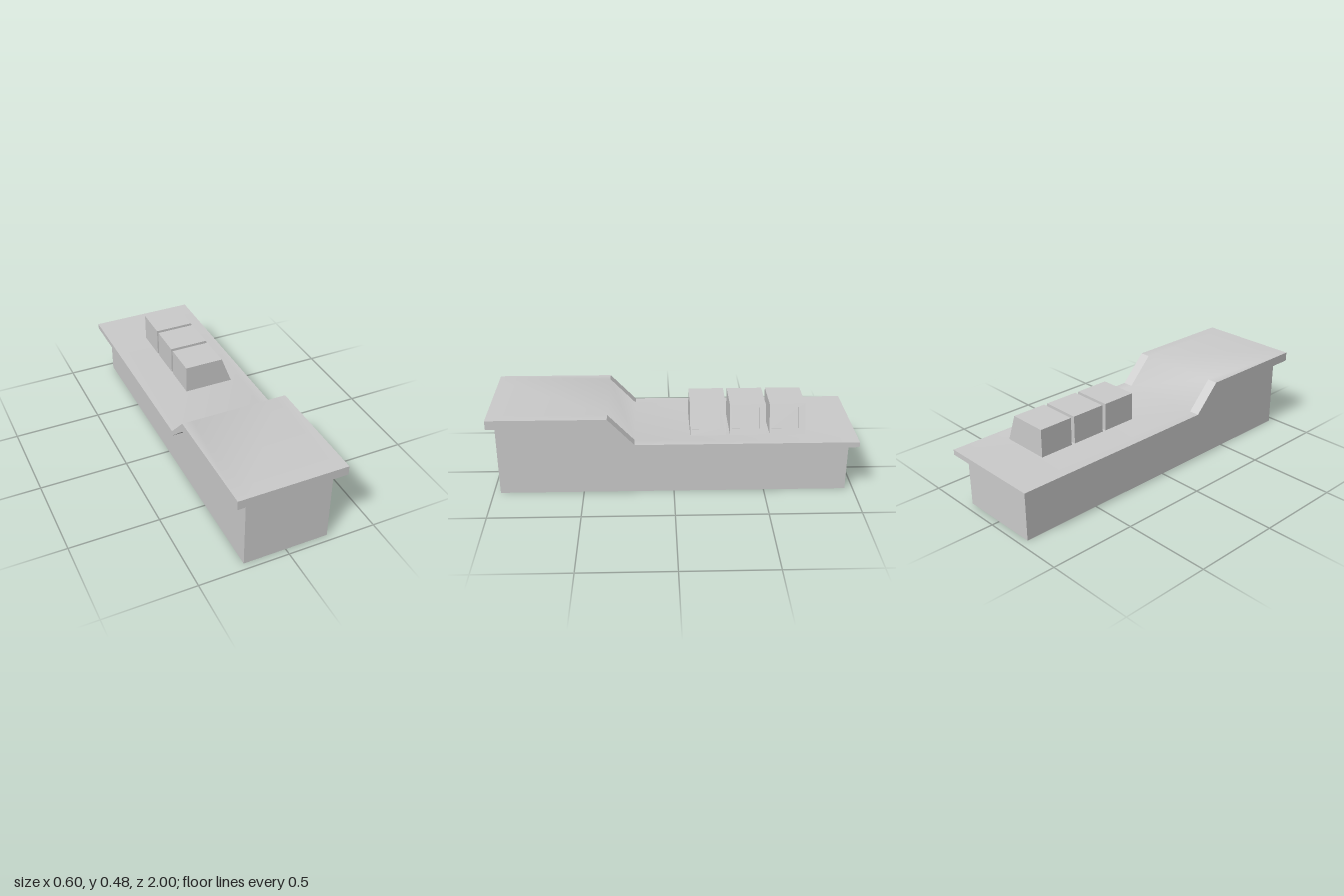
import * as THREE from 'three';

const material = new THREE.MeshStandardMaterial({ color: 0xcccccc });

// Flat-shaded geometry from four-cornered faces, counter-clockwise from outside
function quads(faces) {
  const geometry = new THREE.BufferGeometry();
  const corners = faces.flatMap(([a, b, c, d]) => [a, b, c, a, c, d]);
  geometry.setAttribute('position', new THREE.Float32BufferAttribute(corners.flat(), 3));
  geometry.computeVertexNormals();
  return geometry;
}

function part(name, geometry) {
  const mesh = new THREE.Mesh(geometry, material);
  mesh.name = name;
  return mesh;
}

// Counter stations from front to back: z, top height, underside height
const STATIONS = [
  [1, 0.472, 0.42],
  [0.357, 0.472, 0.42],
  [0.213, 0.32, 0.29],
  [-1, 0.32, 0.29],
];
const COLUMNS = [-0.3, -0.24, 0.24, 0.3];
const HALF = 0.3;

// Smoothly shaded top; the overhanging slope corners are left for flat faces
function worktopSurface() {
  const points = [], index = [];
  for (const [z, top] of STATIONS) for (const x of COLUMNS) points.push(x, top, z);
  for (let i = 0; i < 3; i++) {
    for (let j = 0; j < 3; j++) {
      if (i === 1 && j !== 1) continue;
      const a = i * 4 + j;
      index.push(a, a + 1, a + 5, a, a + 5, a + 4);
    }
  }
  const geometry = new THREE.BufferGeometry();
  geometry.setAttribute('position', new THREE.Float32BufferAttribute(points, 3));
  geometry.setIndex(index);
  geometry.computeVertexNormals();
  return geometry;
}

// Edges, underside and sloped side corners of the worktop
function worktopEdges() {
  const faces = [], h = HALF;
  for (let i = 0; i < 3; i++) {
    const [zf, tf, bf] = STATIONS[i], [zb, tb, bb] = STATIONS[i + 1];
    faces.push([[h, bf, zf], [h, bb, zb], [h, tb, zb], [h, tf, zf]]);
    faces.push([[-h, bb, zb], [-h, bf, zf], [-h, tf, zf], [-h, tb, zb]]);
    faces.push([[-h, bb, zb], [h, bb, zb], [h, bf, zf], [-h, bf, zf]]);
    if (i === 1) {
      for (const j of [0, 2]) {
        const l = COLUMNS[j], r = COLUMNS[j + 1];
        faces.push([[l, tf, zf], [r, tf, zf], [r, tb, zb], [l, tb, zb]]);
      }
    }
  }
  const [zf, tf, bf] = STATIONS[0], [zb, tb, bb] = STATIONS[3];
  faces.push([[-h, bf, zf], [h, bf, zf], [h, tf, zf], [-h, tf, zf]]);
  faces.push([[h, bb, zb], [-h, bb, zb], [-h, tb, zb], [h, tb, zb]]);
  return quads(faces);
}

// Solid base, its upper edge following the worktop's underside
function baseGeometry() {
  const left = -0.237, right = 0.241, front = 0.962, back = -0.955;
  const shape = new THREE.Shape([
    [back, 0], [front, 0], [front, 0.42], [0.357, 0.42], [0.213, 0.29], [back, 0.29],
  ].map(([z, y]) => new THREE.Vector2(z, y)));
  return new THREE.ExtrudeGeometry(shape, { depth: right - left, bevelEnabled: false })
    .rotateY(-Math.PI / 2)
    .translate(right, 0, 0);
}

// Wedge-fronted monitor with a recessed screen, facing +x
function monitorGeometry(zf, zb) {
  const y0 = 0.318, y1 = 0.477, xl = -0.083, xb = 0.197, xt = 0.137;
  const xAt = (y) => xb + (xt - xb) * (y - y0) / (y1 - y0);
  const loop = (lo, hi, f, b) => [
    [xAt(lo), lo, f], [xAt(lo), lo, b], [xAt(hi), hi, b], [xAt(hi), hi, f],
  ];
  const outer = loop(y0, y1, zf, zb);
  const rim = loop(0.352, 0.461, zf - 0.01, zb + 0.035);
  const screen = rim.map(([x, y, z]) => [x - 0.013, y - 0.005, z]);
  const [o0, o1, o2, o3] = outer;
  const l0 = [xl, y0, zf], l1 = [xl, y0, zb], l2 = [xl, y1, zb], l3 = [xl, y1, zf];
  const faces = [
    [l1, l0, l3, l2], [l3, o3, o2, l2], [l0, o0, o3, l3],
    [o1, l1, l2, o2], [l1, o1, o0, l0], screen,
  ];
  for (let k = 0; k < 4; k++) {
    const n = (k + 1) % 4;
    faces.push([outer[k], outer[n], rim[n], rim[k]]);
    faces.push([rim[k], rim[n], screen[n], screen[k]]);
  }
  return quads(faces);
}

export function createModel() {
  const model = new THREE.Group();
  model.name = 'counter';
  model.add(part('base', baseGeometry()));

  const worktop = new THREE.Group();
  worktop.name = 'worktop';
  worktop.add(part('worktopSurface', worktopSurface()), part('worktopEdges', worktopEdges()));
  model.add(worktop);

  // Row of three monitors
  for (let i = 0; i < 3; i++) {
    const zf = -0.09 - i * 0.2175;
    model.add(part(`monitor${i + 1}`, monitorGeometry(zf, zf - 0.196)));
  }
  return model;
}
